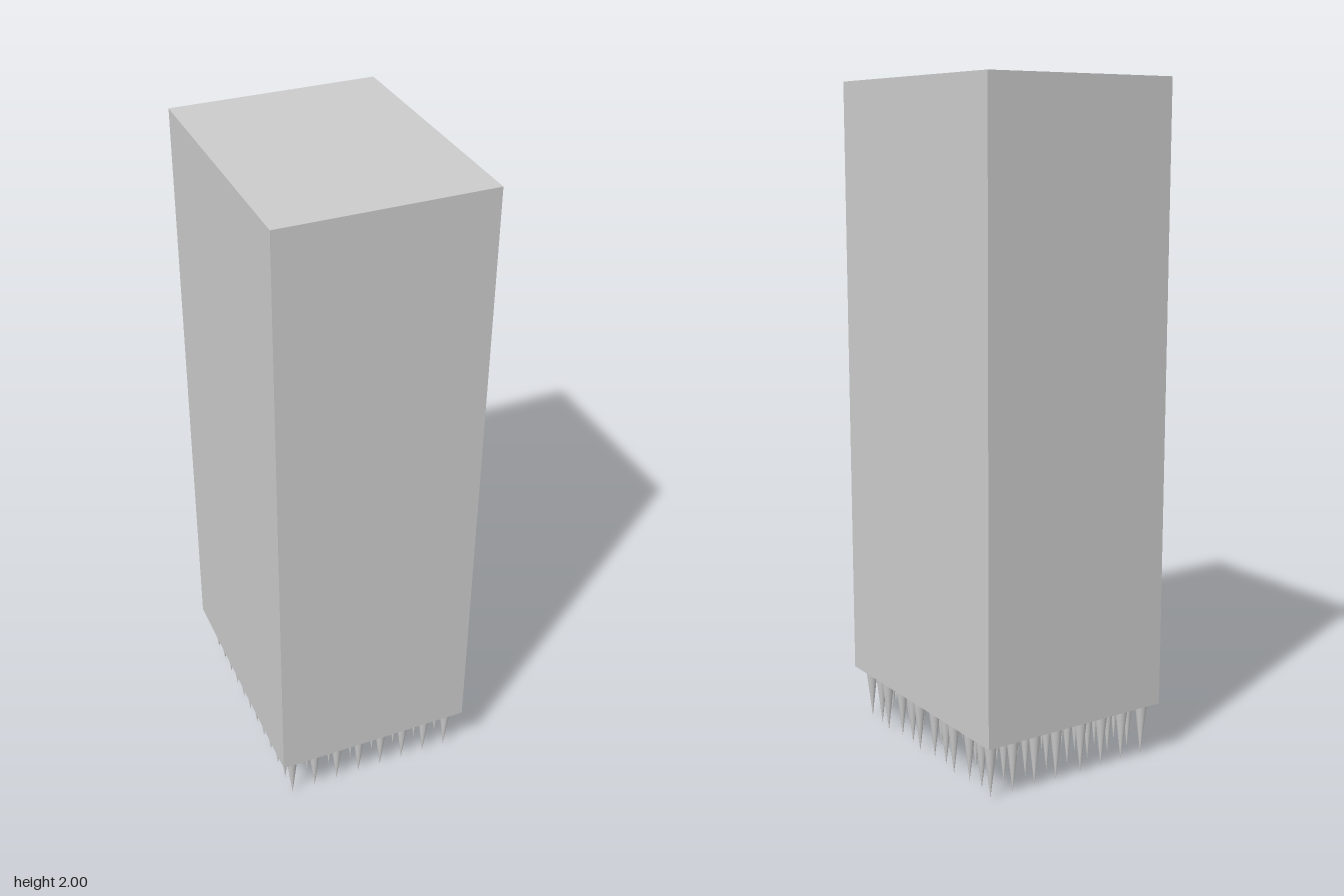
import * as THREE from 'three';

export function createModel() {
  const model = new THREE.Group();
  const material = new THREE.MeshStandardMaterial({ color: 0xcccccc });

  // Tall solid block
  const bottom = 0.165;
  const block = new THREE.Mesh(new THREE.BoxGeometry(0.612, 2 - bottom, 0.785), material);
  block.name = 'block';
  block.position.y = (2 + bottom) / 2;
  model.add(block);

  // Grid of downward spikes under the block
  const spikes = new THREE.Group();
  spikes.name = 'spikes';
  const columns = 8, rows = 12;
  const cone = new THREE.ConeGeometry(0.019, bottom, 16);
  cone.rotateX(Math.PI);
  for (let i = 0; i < columns; i++) {
    for (let j = 0; j < rows; j++) {
      const spike = new THREE.Mesh(cone, material);
      spike.name = 'spike';
      // Inner columns on the left side are slightly staggered
      const stagger = i >= 4 && j % 3 === 2 ? 0.013 : 0;
      spike.position.set(-0.265 + i * 0.0757 + stagger, bottom / 2, 0.355 - j * 0.0648);
      spikes.add(spike);
    }
  }
  model.add(spikes);
  return model;
}
